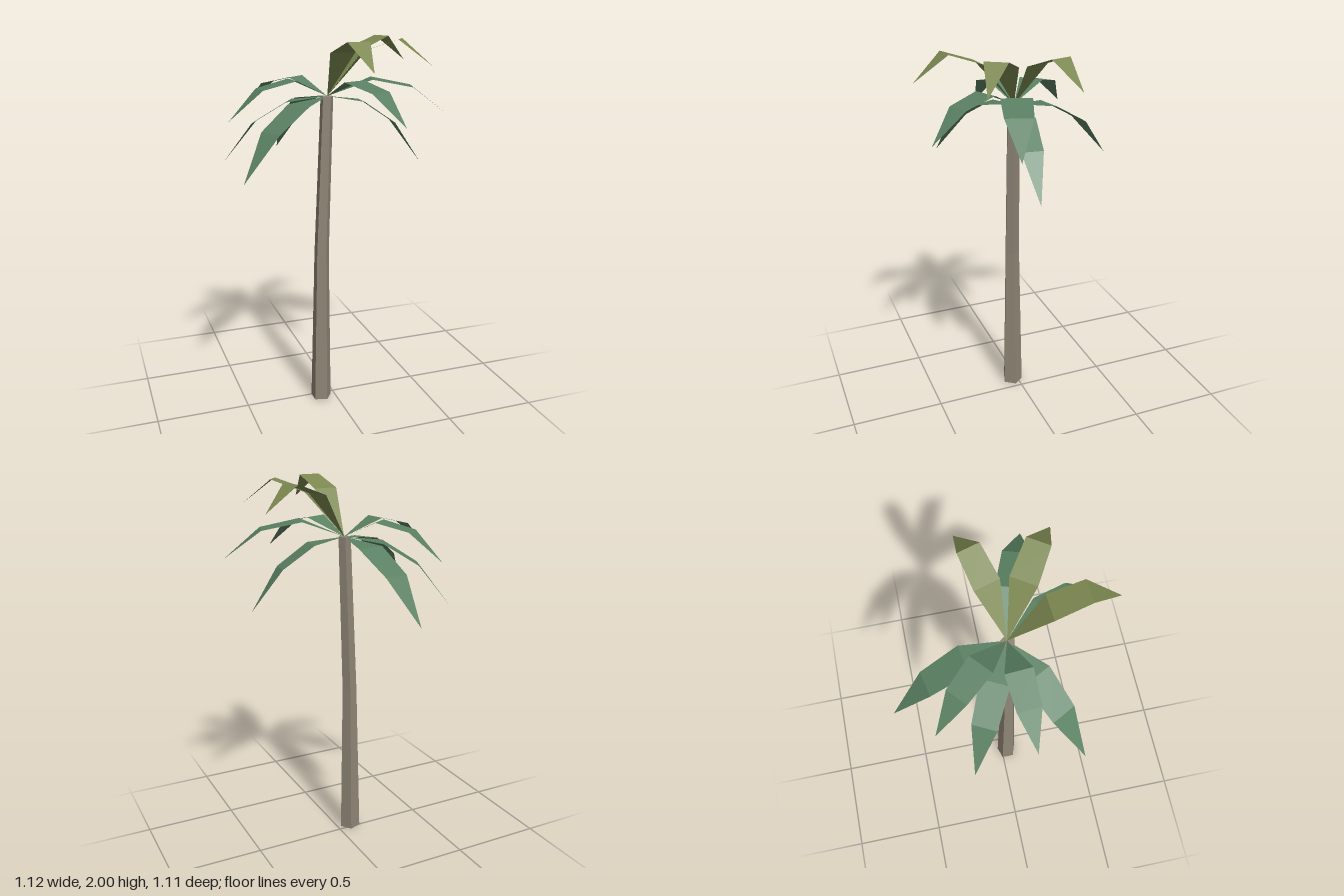
import * as THREE from 'three';

const TRUNK_TOP = new THREE.Vector3(-0.037, 1.71, 0.026);

function material(name, color, options = {}) {
  const m = new THREE.MeshStandardMaterial({ color, flatShading: true, ...options });
  m.name = name;
  return m;
}

// Five-sided trunk, tapering and leaning along three rings
function trunkGeometry() {
  const rings = [
    { x: -0.079, y: 0, z: 0.03, r: 0.058 },
    { x: -0.072, y: 0.86, z: 0.03, r: 0.041 },
    { x: -0.04, y: 1.71, z: 0.03, r: 0.034 },
  ];
  const geometry = new THREE.CylinderGeometry(1, 1, 2, 5, 2, false, Math.PI / 2);
  const pos = geometry.attributes.position;
  for (let i = 0; i < pos.count; i++) {
    const ring = rings[Math.round(pos.getY(i)) + 1];
    pos.setXYZ(i, ring.x + pos.getX(i) * ring.r, ring.y, ring.z + pos.getZ(i) * ring.r);
  }
  geometry.computeVertexNormals();
  return geometry;
}

// Folded leaf: a pointed root, two level cross-sections and a pointed tip
function frondGeometry(tipX, tipZ, [y1, y2, y3]) {
  const dx = tipX - TRUNK_TOP.x;
  const dz = tipZ - TRUNK_TOP.z;
  const length = Math.hypot(dx, dz);
  const side = new THREE.Vector3(-dz / length, 0, dx / length);
  const along = (t, y) => new THREE.Vector3(TRUNK_TOP.x + dx * t, y, TRUNK_TOP.z + dz * t);
  const section = (t, y, half) =>
    [-half, half].map((w) => along(t, y).addScaledVector(side, w));

  const root = TRUNK_TOP;
  const [a, b] = section(0.36, y1, length * 0.126);
  const [c, d] = section(0.69, y2, length * 0.111);
  const tip = along(1, y3);
  const geometry = new THREE.BufferGeometry().setFromPoints([
    root, b, a,
    a, b, d, a, d, c,
    c, d, tip,
  ]);
  geometry.computeVertexNormals();
  return geometry;
}

export function createModel() {
  const bark = material('bark', 0x8e8575);
  const green = material('leaf green', 0x5a8062, { side: THREE.DoubleSide });
  const olive = material('young leaf olive', 0x7b8750, { side: THREE.DoubleSide });

  const model = new THREE.Group();
  model.name = 'palmTree';
  const trunk = new THREE.Mesh(trunkGeometry(), bark);
  trunk.name = 'trunk';
  model.add(trunk);

  // Three tiers: heights of both sections and the tip, then tip positions (x, z)
  const tiers = [
    { name: 'youngFrond', mat: olive, heights: [1.94, 2.0, 1.87],
      tips: [[0.453, -0.124], [0.409, 0.32], [0.004, 0.552]] },
    { name: 'middleFrond', mat: green, heights: [1.8, 1.76, 1.61],
      tips: [[-0.385, -0.374], [-0.56, 0.06], [0.184, 0.522], [0.558, 0.218]] },
    { name: 'lowerFrond', mat: green, heights: [1.683, 1.57, 1.35],
      tips: [[-0.151, -0.56], [-0.534, -0.23], [-0.549, 0.305], [0.465, 0.084]] },
  ];
  for (const { name, mat, heights, tips } of tiers) {
    const tier = new THREE.Group();
    tier.name = name + 's';
    for (const [x, z] of tips) {
      const frond = new THREE.Mesh(frondGeometry(x, z, heights), mat);
      frond.name = name;
      tier.add(frond);
    }
    model.add(tier);
  }
  return model;
}
